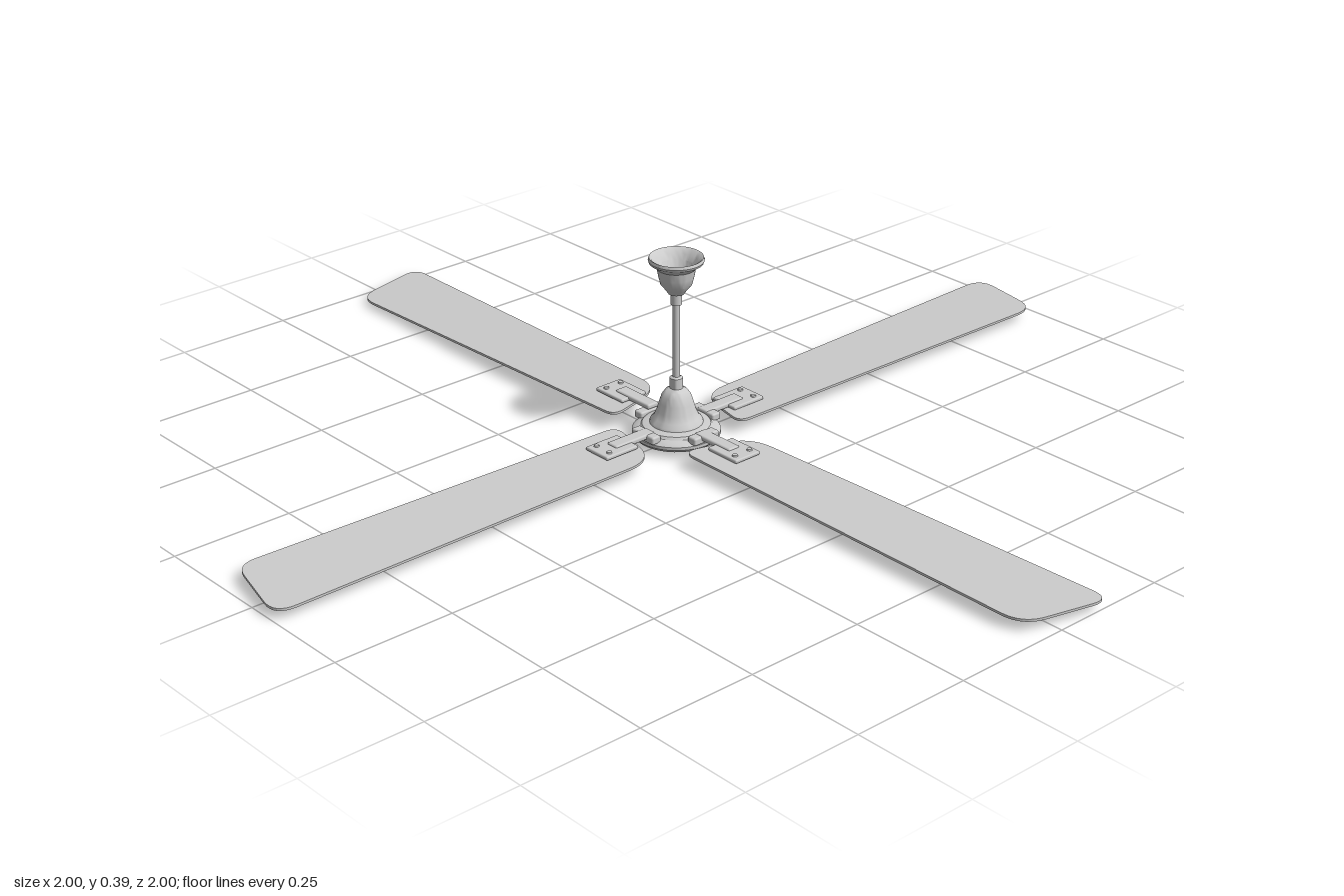
import * as THREE from 'three';
import { RoundedBoxGeometry } from 'three/addons/geometries/RoundedBoxGeometry.js';
import { toCreasedNormals } from 'three/addons/utils/BufferGeometryUtils.js';

const grey = new THREE.MeshStandardMaterial({ color: 0xcccccc, side: THREE.DoubleSide });

function add(parent, name, geometry, x = 0, y = 0, z = 0) {
  const mesh = new THREE.Mesh(geometry, grey);
  mesh.name = name;
  mesh.position.set(x, y, z);
  parent.add(mesh);
  return mesh;
}

// Revolved profile of [radius, height] pairs
function lathe(points) {
  const geometry = new THREE.LatheGeometry(points.map(([r, y]) => new THREE.Vector2(r, y)), 40);
  return toCreasedNormals(geometry, 0.6);
}

// Polygon with rounded corners, each corner is [x, z, radius]
function roundedShape(corners) {
  const shape = new THREE.Shape();
  const n = corners.length;
  const toV = ([x, z]) => new THREE.Vector2(x, -z);
  corners.forEach((corner, i) => {
    const c = toV(corner);
    const a = toV(corners[(i + n - 1) % n]).sub(c).setLength(corner[2]).add(c);
    const b = toV(corners[(i + 1) % n]).sub(c).setLength(corner[2]).add(c);
    if (i === 0) shape.moveTo(a.x, a.y);
    else shape.lineTo(a.x, a.y);
    shape.quadraticCurveTo(c.x, c.y, b.x, b.y);
  });
  shape.closePath();
  return shape;
}

// Thin blade that droops toward its tip and pitches slightly across its width
function bladeGeometry({ dir: [dx, dz], corners, root, tip }) {
  const geometry = new THREE.ExtrudeGeometry(roundedShape(corners), {
    depth: 0.005, bevelEnabled: false, curveSegments: 8,
  });
  geometry.rotateX(-Math.PI / 2);
  const p = geometry.attributes.position;
  for (let i = 0; i < p.count; i++) {
    const x = p.getX(i), z = p.getZ(i);
    const along = (x * dx + z * dz - 0.1) / 0.9;
    const across = x * dz - z * dx;
    p.setY(i, p.getY(i) + root + (tip - root) * along - 0.02 * across);
  }
  geometry.computeVertexNormals();
  return geometry;
}

const blades = [
  { name: 'leftBlade', dir: [1, 0], root: 0.027, tip: 0.018,
    corners: [[0.1, 0.072, 0.03], [0.135, -0.072, 0.06], [1.008, -0.12, 0.04], [0.967, 0.067, 0.05]] },
  { name: 'rightBlade', dir: [-1, 0], root: 0.037, tip: 0.009,
    corners: [[-0.1, 0.074, 0.03], [-0.135, -0.074, 0.06], [-1.008, -0.115, 0.04], [-0.967, 0.067, 0.05]] },
  { name: 'backBlade', dir: [0, -1], root: 0.027, tip: 0.019,
    corners: [[0.075, -0.1, 0.03], [-0.07, -0.135, 0.06], [-0.112, -1.008, 0.05], [0.076, -0.97, 0.05]] },
  { name: 'frontBlade', dir: [0, 1], root: 0.027, tip: 0.019,
    corners: [[-0.068, 0.097, 0.03], [0.08, 0.13, 0.06], [0.078, 1.006, 0.05], [-0.106, 0.96, 0.04]] },
];

// Clamp, arm and plate that carry one blade, laid out along +x
function bracket(root) {
  const group = new THREE.Group();
  group.name = 'bladeBracket';
  const top = root + 0.009;
  add(group, 'bracketPlate', new RoundedBoxGeometry(0.08, 0.008, 0.064, 2, 0.003), 0.167, top, 0);
  add(group, 'bracketArm', new RoundedBoxGeometry(0.1, 0.011, 0.028, 2, 0.004), 0.118, top + 0.002, 0);
  add(group, 'bracketClamp', new RoundedBoxGeometry(0.022, 0.016, 0.064, 2, 0.004), 0.079, 0.034, 0);
  // Screws holding the plate
  for (const side of [-1, 1]) {
    add(group, 'screw', new THREE.CylinderGeometry(0.005, 0.006, 0.004, 12), 0.19, top + 0.005, side * 0.019);
  }
  return group;
}

export function createModel() {
  const fan = new THREE.Group();
  fan.name = 'ceilingFan';

  // Shallow stepped motor housing
  add(fan, 'motorHousing', lathe([
    [0, 0], [0.055, 0], [0.066, 0.004], [0.068, 0.009], [0.083, 0.012], [0.088, 0.018],
    [0.088, 0.024], [0.082, 0.029], [0.072, 0.032], [0.068, 0.037], [0.05, 0.041], [0, 0.041],
  ]));

  // Bell cover over the motor
  add(fan, 'bellCover', lathe([
    [0.054, 0.038], [0.052, 0.045], [0.045, 0.052], [0.039, 0.066], [0.034, 0.083],
    [0.029, 0.098], [0.022, 0.108], [0.013, 0.113], [0.013, 0.135], [0.008, 0.138],
  ]));

  // Down rod with its upper collar
  add(fan, 'downRod', new THREE.CylinderGeometry(0.0075, 0.0075, 0.24, 20), 0, 0.22, 0);
  add(fan, 'rodCollar', new THREE.CylinderGeometry(0.011, 0.011, 0.024, 20), 0, 0.303, 0);

  // Open ceiling cup
  add(fan, 'canopy', lathe([
    [0.007, 0.312], [0.016, 0.314], [0.021, 0.322], [0.031, 0.334], [0.035, 0.35], [0.038, 0.367],
    [0.045, 0.374], [0.053, 0.379], [0.055, 0.384], [0.053, 0.39], [0.049, 0.388],
    [0.042, 0.379], [0.034, 0.37], [0.028, 0.338], [0.016, 0.324], [0.007, 0.322],
  ]));

  // Four blades and their brackets
  for (const blade of blades) {
    add(fan, blade.name, bladeGeometry(blade));
    const arm = bracket(blade.root);
    arm.rotation.y = Math.atan2(-blade.dir[1], blade.dir[0]);
    fan.add(arm);
  }
  return fan;
}
